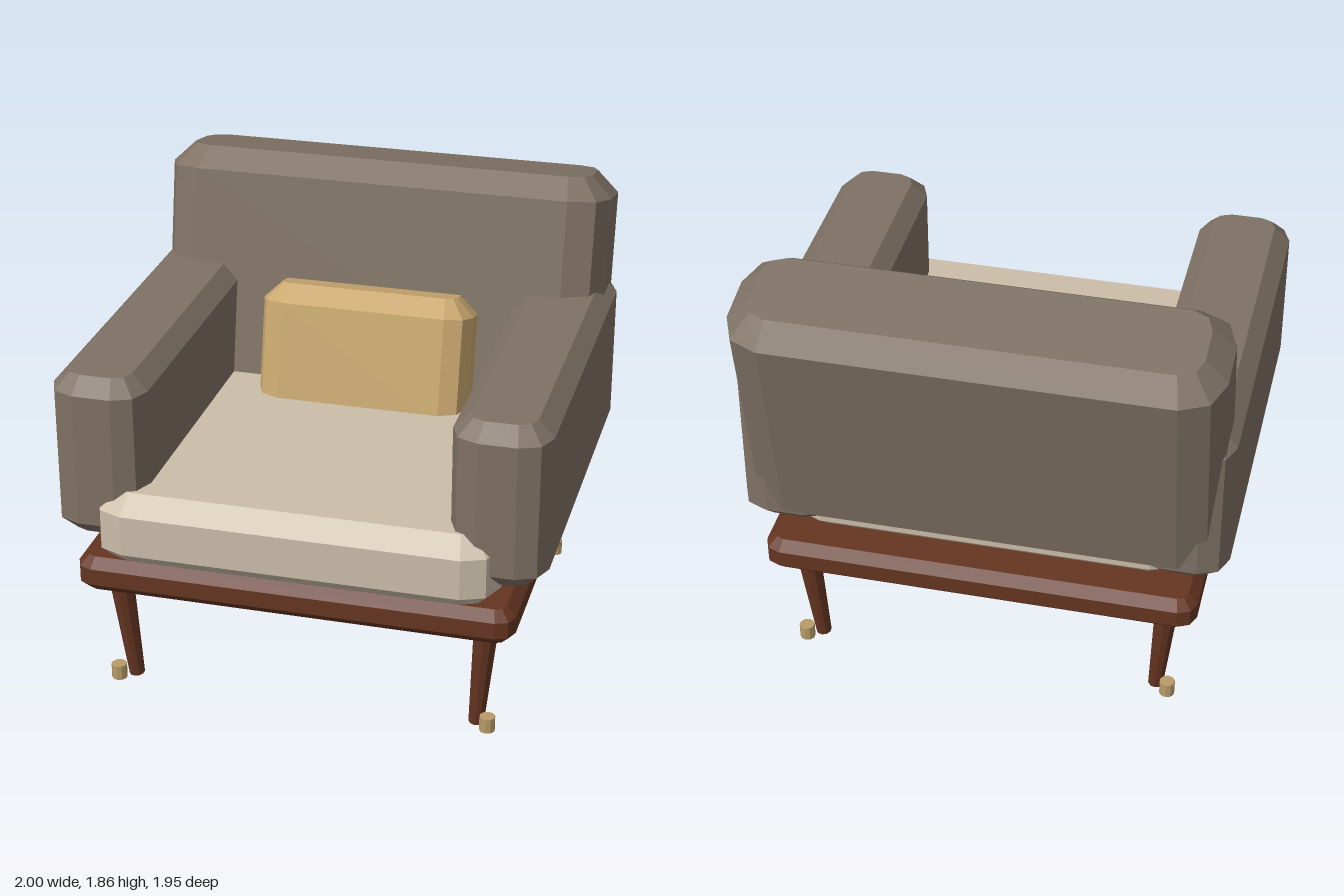
import * as THREE from 'three';

const mat = (name, color) => {
  const m = new THREE.MeshStandardMaterial({ color, flatShading: true });
  m.name = name;
  return m;
};

// Padded block: rounded rectangle extruded upwards, with one chamfer b all round.
// w, h, d are full outer sizes; r is the corner radius of the inset top face.
function paddedBlock(w, h, d, b, r) {
  const x = w / 2 - b, y = d / 2 - b;
  const s = new THREE.Shape();
  s.absarc(x - r, y - r, r, 0, Math.PI / 2);
  s.absarc(-x + r, y - r, r, Math.PI / 2, Math.PI);
  s.absarc(-x + r, -y + r, r, Math.PI, Math.PI * 1.5);
  s.absarc(x - r, -y + r, r, Math.PI * 1.5, Math.PI * 2);
  const g = new THREE.ExtrudeGeometry(s, {
    depth: h - 2 * b, bevelEnabled: true, bevelSegments: 1,
    bevelSize: b, bevelThickness: b, curveSegments: 1,
  });
  g.translate(0, 0, b - h / 2);
  return g.rotateX(-Math.PI / 2);
}

export function createModel() {
  const chair = new THREE.Group();
  chair.name = 'armchair';

  const upholstery = mat('taupe upholstery', 0x7f7164);
  const linen = mat('cream linen', 0xcbbeaa);
  const mustard = mat('mustard fabric', 0xc8a76e);
  const wood = mat('dark wood', 0x653521);
  const brass = mat('brass', 0xb89c68);

  const add = (name, geometry, material, x, y, z, tilt = 0) => {
    const mesh = new THREE.Mesh(geometry, material);
    mesh.name = name;
    mesh.position.set(x, y, z);
    mesh.rotation.x = tilt;
    chair.add(mesh);
    return mesh;
  };

  // Plinth and cushions
  add('baseFrame', paddedBlock(1.79, 0.15, 1.805, 0.04, 0.04), wood, 0, 0.555, 0.0625);
  add('seatCushion', paddedBlock(1.64, 0.32, 1.685, 0.075, 0.075), linen, 0, 0.765, 0.132);
  add('backrest', paddedBlock(1.93, 1.11, 0.516, 0.09, 0.09), upholstery, 0, 1.285, -0.63, -0.19);
  add('pillow', paddedBlock(0.915, 0.6, 0.3, 0.075, 0.045), mustard, 0, 1.076, -0.273, -0.22);

  // Arms, legs and feet, mirrored left and right
  const armGeometry = paddedBlock(0.39, 0.69, 1.705, 0.065, 0.065);
  const footGeometry = new THREE.CylinderGeometry(0.032, 0.032, 0.063, 10);
  const up = new THREE.Vector3(0, 1, 0);
  for (const [side, sx] of [['left', 1], ['right', -1]]) {
    add(side + 'Arm', armGeometry, upholstery, sx * 0.805, 1.045, 0.0625);

    for (const [end, topZ, bottomZ, footZ] of [
      ['Front', 0.795, 0.757, 0.815],
      ['Back', -0.67, -0.637, -0.69],
    ]) {
      // Tapered leg leaning inwards towards the floor
      const top = new THREE.Vector3(sx * 0.762, 0.5, topZ);
      const bottom = new THREE.Vector3(sx * 0.722, 0.003, bottomZ);
      const axis = top.clone().sub(bottom);
      const mid = top.clone().add(bottom).multiplyScalar(0.5);
      const leg = add(side + end + 'Leg',
        new THREE.CylinderGeometry(0.051, 0.032, axis.length(), 10),
        wood, mid.x, mid.y, mid.z);
      leg.quaternion.setFromUnitVectors(up, axis.normalize());

      add(side + end + 'Foot', footGeometry, brass, sx * 0.778, 0.038, footZ);
    }
  }
  return chair;
}
